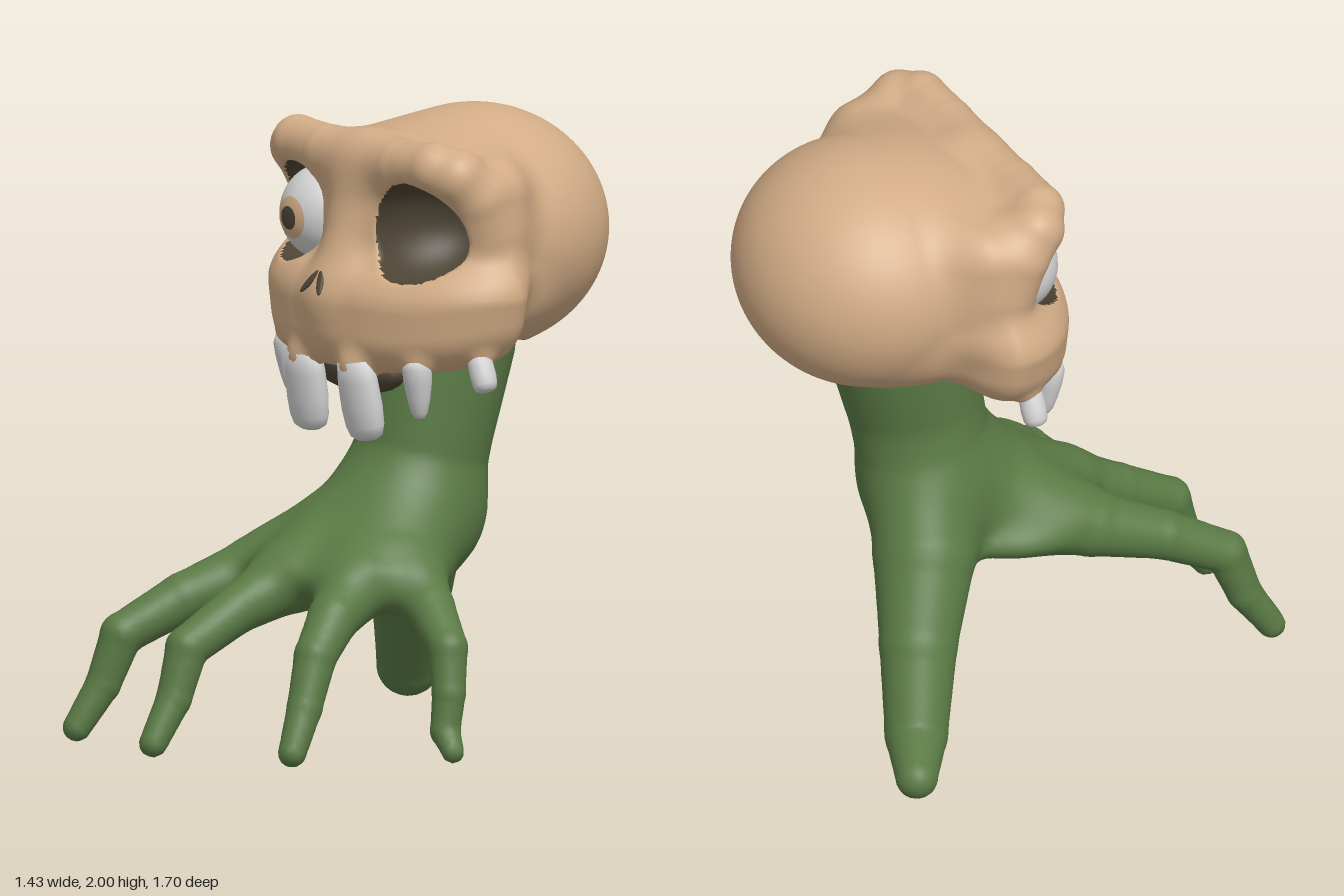
import * as THREE from 'three';

const mat = (name, color) => Object.assign(new THREE.MeshStandardMaterial({ color }), { name });
const bone = mat('bone', 0xd2ac86);
const shade = mat('dark hollow', 0x4c4334);
const skin = mat('green skin', 0x5a7a45);
const white = mat('white', 0xd2d2d2);

const CX = 0.035; // skull centre line

// ---- distance helpers ----
const clamp = (v, a, b) => Math.min(b, Math.max(a, v));
const smin = (a, b, k) => {
  const h = Math.max(k - Math.abs(a - b), 0) / k;
  return Math.min(a, b) - h * h * k * 0.25;
};
const smax = (a, b, k) => -smin(-a, -b, k);
const ellipsoid = (x, y, z, rx, ry, rz) => {
  const k0 = Math.hypot(x / rx, y / ry, z / rz);
  if (k0 < 1e-3) return -Math.min(rx, ry, rz);
  return (k0 * (k0 - 1)) / Math.hypot(x / rx / rx, y / ry / ry, z / rz / rz);
};
const rounded = (a, b, r) =>
  Math.min(Math.max(a + r, b + r), 0) + Math.hypot(Math.max(a + r, 0), Math.max(b + r, 0)) - r;
const limb = (x, y, z, a, b) => {
  const dx = b[0] - a[0], dy = b[1] - a[1], dz = b[2] - a[2];
  const t = clamp(((x - a[0]) * dx + (y - a[1]) * dy + (z - a[2]) * dz) / (dx * dx + dy * dy + dz * dz), 0, 1);
  return Math.hypot(x - a[0] - t * dx, y - a[1] - t * dy, z - a[2] - t * dz) - a[3] - t * (b[3] - a[3]);
};
const limbs = (x, y, z, chain) => {
  let d = 9;
  for (let i = 1; i < chain.length; i++) d = smin(d, limb(x, y, z, chain[i - 1], chain[i]), 0.008);
  return d;
};

// ---- smooth skin over a distance function, optionally with a second material ----
function skinMesh(name, f, lo, hi, h, materials, isSecond = () => false) {
  const n = lo.map((v, i) => Math.ceil((hi[i] - v) / h) + 1);
  const step = [1, n[0], n[0] * n[1]];
  const val = new Float32Array(n[0] * n[1] * n[2]);
  const each = (cb) => {
    for (let k = 0; k < n[2]; k++) for (let j = 0; j < n[1]; j++) for (let i = 0; i < n[0]; i++)
      cb([i, j, k], i + j * step[1] + k * step[2]);
  };
  each((c, id) => { val[id] = f(...c.map((v, a) => lo[a] + v * h)); });
  const grad = (p) => [0, 1, 2].map((a) => {
    const e = 0.004, q = [...p], r = [...p];
    q[a] += e; r[a] -= e;
    return (f(...q) - f(...r)) / (2 * e);
  });
  const pos = [], nor = [], vert = new Map(), tris = [[], []];
  // one vertex in each cell the surface passes through
  each((c, id) => {
    if (c.some((v, a) => v >= n[a] - 1)) return;
    const sum = [0, 0, 0];
    let count = 0;
    for (let m = 0; m < 8; m++) for (let a = 0; a < 3; a++) {
      if (m & (1 << a)) continue;
      const bit = [m & 1, (m >> 1) & 1, m >> 2];
      const s = id + bit[0] + bit[1] * step[1] + bit[2] * step[2];
      const v0 = val[s], v1 = val[s + step[a]];
      if (v0 < 0 === v1 < 0) continue;
      bit[a] = v0 / (v0 - v1);
      bit.forEach((v, i) => { sum[i] += v; });
      count++;
    }
    if (!count) return;
    let p = sum.map((v, a) => lo[a] + (c[a] + v / count) * h);
    for (let it = 0; it < 2; it++) {
      const g = grad(p), d = f(...p) / Math.max(0.1, g[0] ** 2 + g[1] ** 2 + g[2] ** 2);
      p = p.map((v, a) => v - clamp(d * g[a], -h / 2, h / 2));
    }
    const g = grad(p), l = Math.hypot(...g) || 1;
    vert.set(id, pos.length / 3);
    pos.push(...p);
    nor.push(...g.map((v) => v / l));
  });
  // one quad around each grid edge that crosses the surface
  each((c, id) => {
    for (let a = 0; a < 3; a++) {
      const u = step[(a + 1) % 3], w = step[(a + 2) % 3];
      if (c[a] >= n[a] - 1 || val[id] < 0 === val[id + step[a]] < 0) continue;
      let q = [id - u - w, id - w, id, id - u].map((v) => vert.get(v));
      if (q.includes(undefined)) continue;
      if (val[id] >= 0) q = q.reverse();
      const mid = [0, 1, 2].map((i) => q.reduce((s, v) => s + pos[v * 3 + i] / 4, 0));
      tris[isSecond(...mid) ? 1 : 0].push(q[0], q[1], q[2], q[0], q[2], q[3]);
    }
  });
  const geo = new THREE.BufferGeometry();
  geo.setAttribute('position', new THREE.Float32BufferAttribute(pos, 3));
  geo.setAttribute('normal', new THREE.Float32BufferAttribute(nor, 3));
  geo.setIndex(tris[0].concat(tris[1]));
  geo.addGroup(0, tris[0].length, 0);
  if (tris[1].length) geo.addGroup(tris[0].length, tris[1].length, 1);
  const mesh = new THREE.Mesh(geo, materials);
  mesh.name = name;
  return mesh;
}

// ---- teeth: offset from centre line, top y, z, half width, length, half depth, outward lean, backward lean ----
const TEETH = [
  [0.14, 1.22, 0.14, 0.085, 0.25, 0.055, 0.06, 0.16],
  [0.35, 1.24, 0.05, 0.052, 0.18, 0.046, -0.04, 0.1],
  [0.48, 1.265, -0.1, 0.042, 0.115, 0.042, 0.4, 0],
];

// ---- skull: cranium, forehead, brow arches, cheeks and muzzle, with hollows cut out ----
const BROW = [[0, 1.858, -0.01, 0.085], [0.2, 1.865, 0.005, 0.077], [0.37, 1.87, -0.005, 0.082],
  [0.43, 1.845, -0.05, 0.09], [0.45, 1.77, -0.11, 0.085], [0.445, 1.66, -0.15, 0.075]];
const hollows = (ax, y, z) => Math.min(
  ellipsoid(ax - 0.302, y - 1.655, z + 0.02, 0.165, 0.168, 0.24), // eye socket
  ellipsoid(ax, y - 1.14, z + 0.22, 0.41, 0.23, 0.35)); // open underside
function skull(x, y, z) {
  const ax = Math.abs(x - CX);
  let d = ellipsoid(ax, y - 1.607, z + 0.43, 0.44, 0.392, 0.42);
  d = smin(d, ellipsoid(ax, y - 1.685, z + 0.25, 0.44, 0.27, 0.27), 0.06); // forehead and temples
  d = smin(d, ellipsoid(ax, y - 1.45, z + 0.33, 0.41, 0.24, 0.27), 0.06); // skull base
  const zf = z + 0.22;
  const face = rounded(ellipsoid(ax, 0, zf, 0.51, 1, zf > 0 ? 0.29 : 0.2), Math.abs(y - 1.65) - 0.24, 0.12);
  d = smin(d, face, 0.08);
  d = smin(d, limbs(ax, y, z, BROW), 0.08);
  const zm = z + 0.18, ym = y - 0.05 * clamp((0.1 - z) / 0.3, 0, 1);
  const wide = 0.585 - 0.25 * clamp(1.45 - y, 0, 0.25);
  const muzzle = rounded(ellipsoid(ax, 0, zm, wide, 1, zm > 0 ? 0.375 : 0.17), Math.abs(ym - 1.365) - 0.18, 0.14);
  d = smin(d, muzzle, 0.07);
  d = smin(d, limb(ax, y, z, [0, 1.82, -0.04, 0.1], [0, 1.42, 0.09, 0.1]), 0.08);
  for (const [tx, ty, tz, w] of TEETH) // gum bumps
    d = smin(d, Math.hypot(ax - tx, y - ty, z - tz + 0.01) - w * 0.7, 0.05);
  return smax(d, -hollows(ax, y, z), 0.02);
}

// ---- hand: each chain is a list of x, y, z, radius ----
const PALM = [0.02, 0.72, -0.18, 0.2];
const CHAINS = [
  [[CX, 1.25, -0.3, 0.235], [0.03, 0.86, -0.215, 0.21], PALM],
  [PALM, [-0.235, 0.52, 0.25, 0.105], [-0.305, 0.445, 0.47, 0.08], [-0.36, 0.34, 0.67, 0.068], [-0.385, 0.18, 0.725, 0.056], [-0.41, 0.045, 0.81, 0.045]],
  [PALM, [0.005, 0.53, 0.28, 0.11], [0, 0.445, 0.48, 0.077], [-0.005, 0.34, 0.67, 0.068], [0, 0.18, 0.725, 0.056], [0.005, 0.045, 0.81, 0.045]],
  [PALM, [0.24, 0.53, 0.17, 0.11], [0.32, 0.445, 0.33, 0.082], [0.375, 0.34, 0.44, 0.068], [0.405, 0.18, 0.505, 0.056], [0.435, 0.045, 0.575, 0.045]],
  [PALM, [0.26, 0.57, 0, 0.11], [0.44, 0.465, 0.035, 0.077], [0.59, 0.36, 0.075, 0.062], [0.622, 0.22, 0.095, 0.053], [0.63, 0.1, 0.115, 0.048], [0.685, 0.04, 0.125, 0.036]],
  [[-0.03, 0.85, -0.26, 0.17], [-0.19, 0.58, -0.34, 0.165], [-0.34, 0.36, -0.45, 0.125], [-0.48, 0.12, -0.54, 0.1], [-0.645, 0.085, -0.635, 0.068]],
];
function hand(x, y, z) {
  let d = ellipsoid(x - 0.02, y - 0.55, z - 0.05, 0.34, 0.1, 0.3);
  for (const chain of CHAINS) d = smin(d, limbs(x, y, z, chain), 0.09);
  return d;
}

export function createModel() {
  const model = new THREE.Group();
  model.name = 'skullOnHand';
  const add = (name, geo, material, parent = model) => {
    const m = new THREE.Mesh(geo, material);
    m.name = name;
    parent.add(m);
    return m;
  };

  model.add(skinMesh('skull', skull, [-0.66, 1.08, -0.92], [0.74, 2.08, 0.3], 0.0145, [bone, shade],
    (x, y, z) => hollows(Math.abs(x - CX), y, z) < 0.006));
  model.add(skinMesh('hand', hand, [-0.78, -0.06, -0.78], [0.78, 1.56, 0.92], 0.02, [skin]));

  // palate behind the front teeth
  const palate = add('palate', new THREE.SphereGeometry(1, 20, 12), shade);
  palate.scale.set(0.22, 0.075, 0.08);
  palate.position.set(CX, 1.185, 0.02);

  // eyeball with iris and pupil caps facing forward
  const eye = new THREE.Group();
  eye.name = 'eye';
  eye.position.set(-0.268, 1.645, -0.075);
  model.add(eye);
  add('eyeball', new THREE.SphereGeometry(0.157, 32, 20), white, eye);
  const cap = (name, r, angle, material) =>
    add(name, new THREE.SphereGeometry(r, 28, 6, 0, Math.PI * 2, 0, angle).rotateX(Math.PI / 2 + 0.05), material, eye);
  cap('iris', 0.16, 0.44, bone);
  cap('pupil', 0.163, 0.235, shade);

  // nose slits in an upside-down V, set on the face surface
  for (const s of [-1, 1]) {
    const x = CX + s * 0.026, y = 1.48;
    let z = 0.5;
    for (let i = 0; i < 200 && skull(x, y, z) > 0.001; i++) z -= Math.max(0.001, skull(x, y, z) * 0.6);
    const slit = add('noseSlit', new THREE.SphereGeometry(1, 14, 10), shade);
    slit.scale.set(0.014, 0.05, 0.008);
    slit.position.set(x, y, z);
    slit.rotation.set(-0.55, 0, s * 0.5);
  }

  // teeth, mirrored about the skull's centre line: blunt in front, tapered at the sides
  const lathe = (points) => new THREE.LatheGeometry(points.map(([r, y]) => new THREE.Vector2(r, y)), 18);
  const blunt = lathe([[0.001, -1], [0.5, -0.985], [0.78, -0.93], [0.93, -0.8], [1, -0.55], [0.97, -0.2], [0.85, 0.08], [0.001, 0.15]]);
  const tapered = lathe([[0.001, -1], [0.35, -0.98], [0.55, -0.88], [0.75, -0.65], [0.95, -0.3], [1, -0.05], [0.8, 0.1], [0.001, 0.15]]);
  for (const s of [-1, 1]) TEETH.forEach(([x, y, z, w, len, depth, lean, back], i) => {
    const t = add('tooth', i === 1 ? tapered : blunt, white);
    t.scale.set(w, len * 0.97, depth);
    t.position.set(CX + s * x, y, z);
    t.rotation.set(back, 0, s * lean);
  });
  return model;
}
